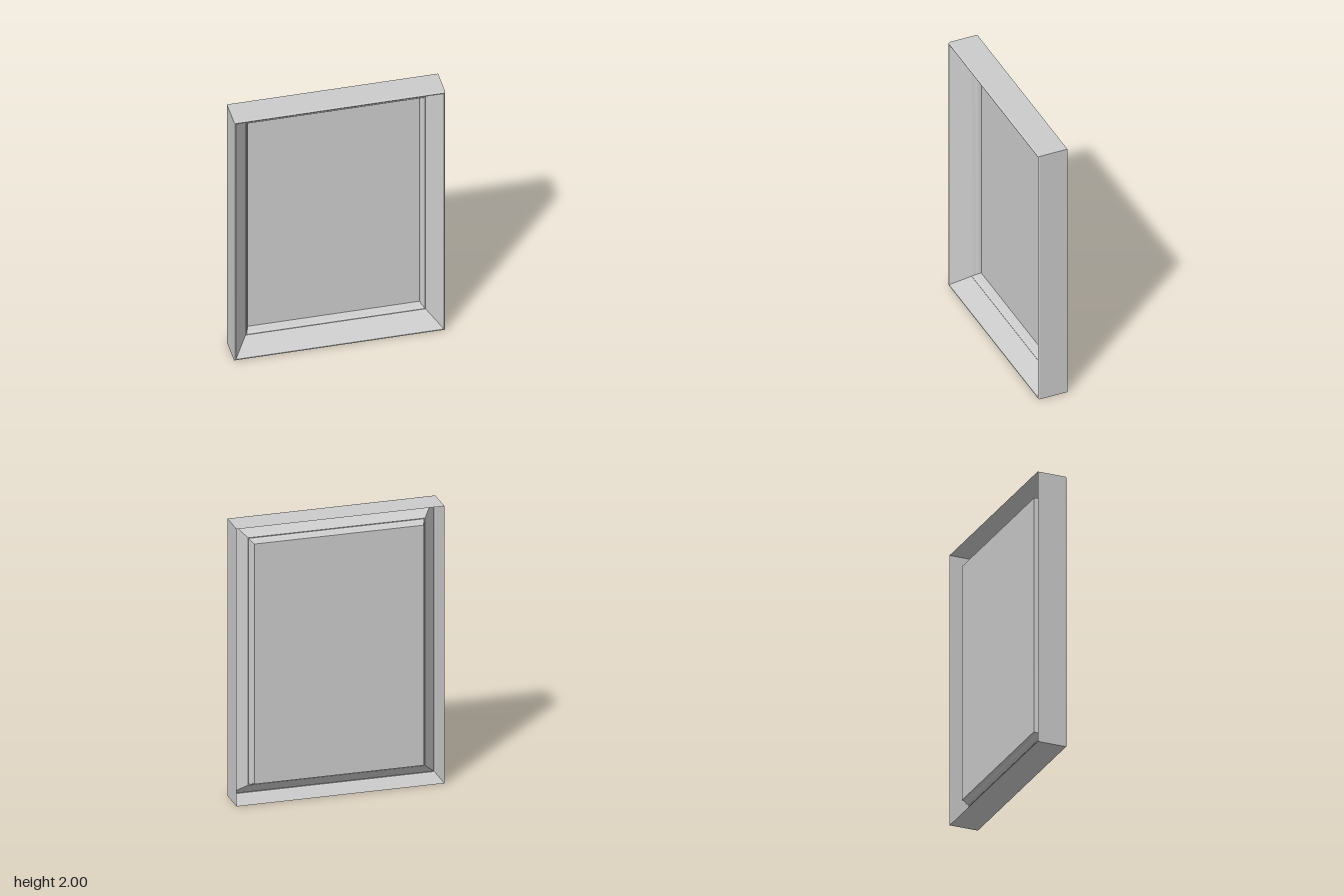
import * as THREE from 'three';
import { toCreasedNormals } from 'three/addons/utils/BufferGeometryUtils.js';

const HALF_W = 0.73, HALF_H = 1;
const CORNERS = [[-1, -1], [1, -1], [1, 1], [-1, 1]];

// Sweep a profile of [inset, z] points around the rectangle with mitred corners
function mitredSweep(profile) {
  const positions = [];
  const point = ([sx, sy], [inset, z]) =>
    [sx * (HALF_W - inset), HALF_H + sy * (HALF_H - inset), z];
  for (let i = 0; i < 4; i++) {
    const p = CORNERS[i], q = CORNERS[(i + 1) % 4];
    for (let j = 0; j < profile.length - 1; j++) {
      const a = point(p, profile[j]), b = point(q, profile[j]);
      const c = point(q, profile[j + 1]), d = point(p, profile[j + 1]);
      positions.push(...a, ...b, ...c, ...a, ...c, ...d);
    }
  }
  const geometry = new THREE.BufferGeometry();
  geometry.setAttribute('position', new THREE.Float32BufferAttribute(positions, 3));
  return toCreasedNormals(geometry, Math.PI / 5);
}

export function createModel() {
  const group = new THREE.Group();
  group.name = 'pictureFrame';
  const material = new THREE.MeshStandardMaterial({ color: 0xcccccc, side: THREE.DoubleSide });

  const add = (name, geometry) => {
    const mesh = new THREE.Mesh(geometry, material);
    mesh.name = name;
    group.add(mesh);
    return mesh;
  };

  // Straight outer wall, open at the back
  add('outerWall', mitredSweep([[0, -0.107], [0, 0.097]]));

  // Rounded front rim running into the wide sloping face
  add('slopedMoulding', mitredSweep([
    [0, 0.097], [0.002, 0.103], [0.006, 0.107], [0.011, 0.106], [0.015, 0.101],
    [0.108, -0.017],
  ]));

  // Small bead and stepped lip around the panel
  add('innerLip', mitredSweep([
    [0.108, -0.017], [0.111, -0.014], [0.114, -0.014], [0.117, -0.018],
    [0.120, -0.040], [0.123, -0.044], [0.127, -0.046], [0.130, -0.050],
    [0.133, -0.070], [0.134, -0.076],
  ]));

  // Flat panel
  const panel = add('panel', new THREE.PlaneGeometry(2 * (HALF_W - 0.134), 2 * (HALF_H - 0.134)));
  panel.position.set(0, HALF_H, -0.076);

  return group;
}
